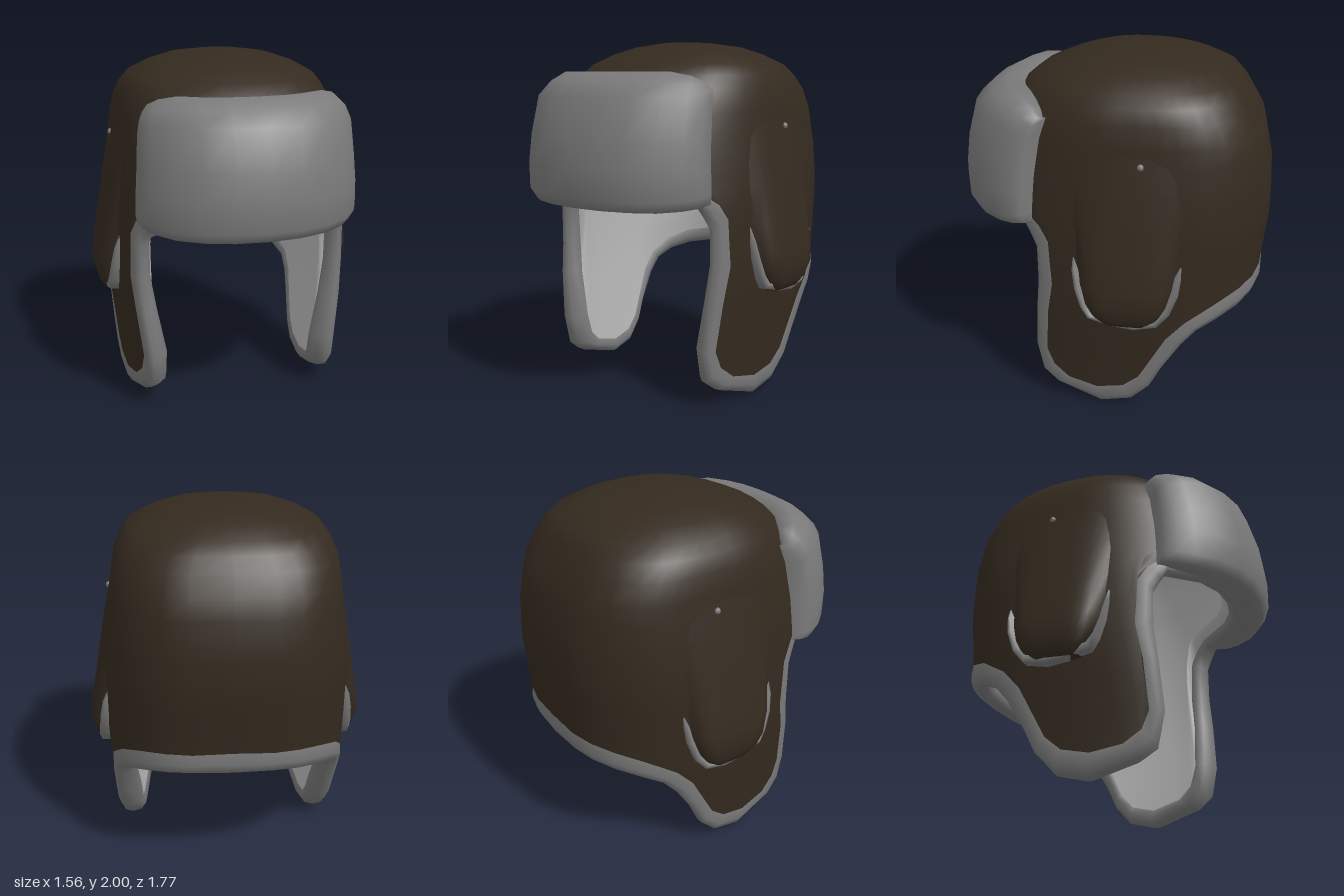
import * as THREE from 'three';

const mat = (name, color) => {
  const m = new THREE.MeshStandardMaterial({ color });
  m.name = name;
  return m;
};

// Body profile by height: y, half width, front depth, back depth (from z = ZC), squareness of the back
const ZC = -0.1;
const PROFILE = [
  [0, 0.62, 0.88, 0.74, 2.7], [0.15, 0.635, 0.88, 0.74, 2.7], [0.4, 0.655, 0.88, 0.745, 2.7],
  [0.6, 0.68, 0.87, 0.75, 2.7], [0.8, 0.69, 0.86, 0.75, 2.7], [1.15, 0.69, 0.845, 0.785, 2.75],
  [1.4, 0.66, 0.82, 0.77, 2.9], [1.62, 0.63, 0.76, 0.72, 3], [1.73, 0.61, 0.7, 0.655, 3],
  [1.81, 0.575, 0.62, 0.61, 2.8], [1.87, 0.53, 0.54, 0.56, 2.6], [1.93, 0.42, 0.4, 0.44, 2.5],
  [1.97, 0.3, 0.27, 0.34, 2.4], [1.995, 0.13, 0.13, 0.15, 2.4], [2, 0, 0, 0, 2.4],
];
function profile(y) {
  const k = Math.max(1, PROFILE.findIndex((r) => r[0] >= y));
  const a = PROFILE[k - 1], b = PROFILE[k];
  const t = (y - a[0]) / (b[0] - a[0]);
  return a.map((v, i) => v + (b[i] - v) * t);
}

// Point on the rounded body: angle a (0 = front, + = left), height y, outward offset
const NF = 2.2;
function point(a, y, off = 0, drop = 0) {
  const [, X, F, B, NB] = profile(y);
  const s = Math.sin(a), c = Math.cos(a);
  const front = c >= 0, e = 2 / (front ? NF : NB);
  const x = Math.sign(s) * Math.abs(s) ** e * Math.max(X + off, 0);
  const z = Math.sign(c) * Math.abs(c) ** e * Math.max((front ? F : B) + off, 0);
  return new THREE.Vector3(x, y - drop, ZC + z);
}
// Angle at which the body at height y reaches depth z
function angleAt(z, y) {
  const [, , F, B, NB] = profile(y);
  const front = z >= ZC;
  const u = Math.min(1, Math.abs(z - ZC) / (front ? F : B)) ** ((front ? NF : NB) / 2);
  return Math.acos(front ? u : -u);
}

// Smooth sheet through rows of points
function sheet(rows, closed) {
  const n = rows[0].length, pos = [], index = [];
  rows.forEach((r) => r.forEach((p) => pos.push(p.x, p.y, p.z)));
  for (let j = 0; j < rows.length - 1; j++) {
    for (let i = 0; i < (closed ? n : n - 1); i++) {
      const k = (i + 1) % n, a = j * n + i, b = j * n + k, c = a + n, d = b + n;
      index.push(a, b, d, a, d, c);
    }
  }
  const g = new THREE.BufferGeometry();
  g.setAttribute('position', new THREE.Float32BufferAttribute(pos, 3));
  g.setIndex(index);
  g.computeVertexNormals();
  return g;
}

// Lower edge, front to back: angle on crown, cloth edge z, y, fur edge z, y
const EDGE = [
  [0, null, 1.22, null, 1.13], [14, null, 1.22, null, 1.13], [30, null, 1.22, null, 1.13],
  [46, 0.44, 1.2, 0.46, 1.12], [53, 0.36, 1.14, 0.43, 1.07], [58, 0.31, 1.06, 0.395, 1.0],
  [62, 0.295, 0.8, 0.395, 0.8], [66, 0.33, 0.6, 0.415, 0.6], [70, 0.35, 0.33, 0.435, 0.33],
  [74, 0.31, 0.23, 0.4, 0.15], [80, 0.22, 0.16, 0.31, 0.085], [86, 0.05, 0.125, 0.03, 0],
  [92, -0.1, 0.155, -0.15, 0.04], [98, -0.19, 0.23, -0.26, 0.15], [104, -0.26, 0.36, -0.33, 0.29],
  [110, -0.34, 0.51, -0.44, 0.46], [117, -0.44, 0.62, -0.52, 0.55], [127, -0.6, 0.72, -0.62, 0.6],
  [142, null, 0.77, null, 0.64], [156, null, 0.785, null, 0.66], [168, null, 0.79, null, 0.67],
  [180, null, 0.8, null, 0.67],
];
const rad = THREE.MathUtils.degToRad;
const half = EDGE.map(([deg, zb, yb, zr, yr]) => ({
  top: rad(deg),
  cloth: [zb === null ? rad(deg) : angleAt(zb, yb), yb],
  fur: [zr === null ? rad(deg) : angleAt(zr, yr), yr],
}));
const mirrored = half.slice(1, -1).reverse().map((c) => ({
  top: -c.top, cloth: [-c.cloth[0], c.cloth[1]], fur: [-c.fur[0], c.fur[1]],
}));
const columns = [...half, ...mirrored];
const mix = (p, q, t) => [p[0] + (q[0] - p[0]) * t, p[1] + (q[1] - p[1]) * t];

// Thickness of the edge roll: plump at the flap tips, slimmer higher up
const rollThickness = (y) => 0.13 - 0.045 * THREE.MathUtils.smoothstep(y, 0.2, 0.95);
const WALL = 0.125;

// Rows from the edge (t of the way from cloth to fur) up to the top, outside or inside
function bodyRows(inside, t) {
  const JOIN = 1.3, rows = [];
  for (let j = 0; j <= 6; j++) {
    rows.push(columns.map((c) => {
      const [a, y] = mix(mix(c.cloth, c.fur, t), [c.top, JOIN], j / 6);
      const edge = rollThickness(y);
      return point(a, y, inside ? -(edge + (WALL - edge) * Math.min(1, j / 2)) : 0);
    }));
  }
  const off = inside ? WALL : 0;
  for (const y of [1.4, 1.52, 1.62, 1.73, 1.81, 1.87, 1.93, 1.97, 1.995, 2]) {
    rows.push(columns.map((c) => point(c.top, y, -off, off * (y - JOIN) / 0.7)));
  }
  return rows;
}

export function createModel() {
  const brown = mat('brownCloth', 0x342a1f);
  const grey = mat('greyFur', 0x7a7a7a);
  const pale = mat('paleLining', 0xb6b6b6);
  const hat = new THREE.Group();
  hat.name = 'earFlapHat';
  const add = (name, geometry, material) => {
    const m = new THREE.Mesh(geometry, material);
    m.name = name;
    hat.add(m);
    return m;
  };

  // Cloth shell with ear flaps, and the lining inside it
  const LINING_EDGE = 0.25;
  add('crown', sheet(bodyRows(false, 0), true), brown);
  add('lining', sheet(bodyRows(true, LINING_EDGE).reverse(), true), pale);

  // Fur roll wrapping the whole lower edge, inside to outside: [edge fraction, depth]
  const roll = [[LINING_EDGE, 1], [0.6, 1.08], [0.9, 0.85], [1, 0.45], [0.9, 0.1], [0.5, -0.08], [0, 0]];
  add('furTrim', sheet(roll.map(([t, depth]) => columns.map((c) => {
    const [a, y] = mix(c.cloth, c.fur, t);
    return point(a, y, -depth * rollThickness(y));
  })), true), grey);

  // Turned-up front flap: section [height, offset], columns [angle, fullness, height scale]
  const section = [[1.14, -0.04], [1.115, 0.05], [1.125, 0.1], [1.18, 0.14], [1.33, 0.16], [1.49, 0.17],
    [1.7, 0.19], [1.78, 0.17], [1.83, 0.13], [1.81, 0.01], [1.75, -0.04]];
  const side = [[55.5, -0.1, 0.8], [54.5, 0.42, 0.82], [50, 0.64, 0.9], [43, 0.78, 0.96],
    [33, 0.92, 1], [22, 0.98, 1], [11, 1, 1]];
  const flapCols = [...side.map(([a, f, s]) => [-a, f, s]), [0, 1, 1], ...side.slice().reverse()];
  const MID = 1.3;
  add('frontFlap', sheet(section.map(([y, off]) => flapCols.map(([a, f, s]) =>
    point(rad(a), MID + (y - MID) * s, off > 0 ? off * f : off))), false), grey);

  // Ear pads: [height, half length, outer x, edge sharpness], blending into the crown above
  const pad = [[0.61, 0.1, 0.66, 6], [0.625, 0.14, 0.735, 6], [0.67, 0.195, 0.76, 6], [0.75, 0.235, 0.78, 6],
    [0.85, 0.262, 0.772, 6], [1.0, 0.28, 0.745, 5], [1.2, 0.31, 0.71, 4], [1.4, 0.33, 0.673, 3], [1.6, 0.33, 0.63, 3]];
  // Fur rim below each pad, thickest in the middle and tapering to its ends
  const rim = [[0.17, 1.03], [0.17, 0.93], [0.155, 0.82], [0.12, 0.71], [0.08, 0.645], [-0.05, 0.61],
    [-0.17, 0.595], [-0.29, 0.62], [-0.355, 0.7], [-0.4, 0.82], [-0.415, 0.92], [-0.42, 1.01]];
  const rimSection = [[0, -0.012], [0.008, 0.045], [0.045, 0.06], [0.07, -0.01]];
  for (const [label, s] of [['left', 1], ['right', -1]]) {
    const place = (z, y, off) => {
      const p = point(angleAt(z, y), y, off);
      p.x *= s;
      return p;
    };
    const rows = pad.map(([y, w, x, sharp]) => {
      const row = [];
      for (let i = 0; i <= 14; i++) {
        const u = -s * (i / 7 - 1), edge = Math.abs(u) ** sharp;
        row.push(place(-0.12 + w * u, y, (x - profile(y)[1]) * (1 - edge) - 0.012 * edge));
      }
      return row;
    });
    add(label + 'EarPad', sheet(rows, false), brown);

    const rimRows = rimSection.map(([inset, lift]) => {
      const row = rim.map(([z, y], i) => {
        const full = Math.sqrt(Math.sin(Math.PI * i / (rim.length - 1)));
        const dz = -0.12 - z, dy = 0.9 - y, k = inset * full / Math.hypot(dz, dy);
        return place(z + dz * k, y + dy * k, lift > 0 ? (lift + 0.012) * full - 0.012 : lift);
      });
      return s > 0 ? row : row.reverse();
    });
    add(label + 'EarPadRim', sheet(rimRows, false), grey);

    // Small stud
    const stud = add(label + 'Stud', new THREE.SphereGeometry(0.018, 10, 8), grey);
    stud.position.copy(place(-0.19, 1.53, 0));
  }
  return hat;
}
